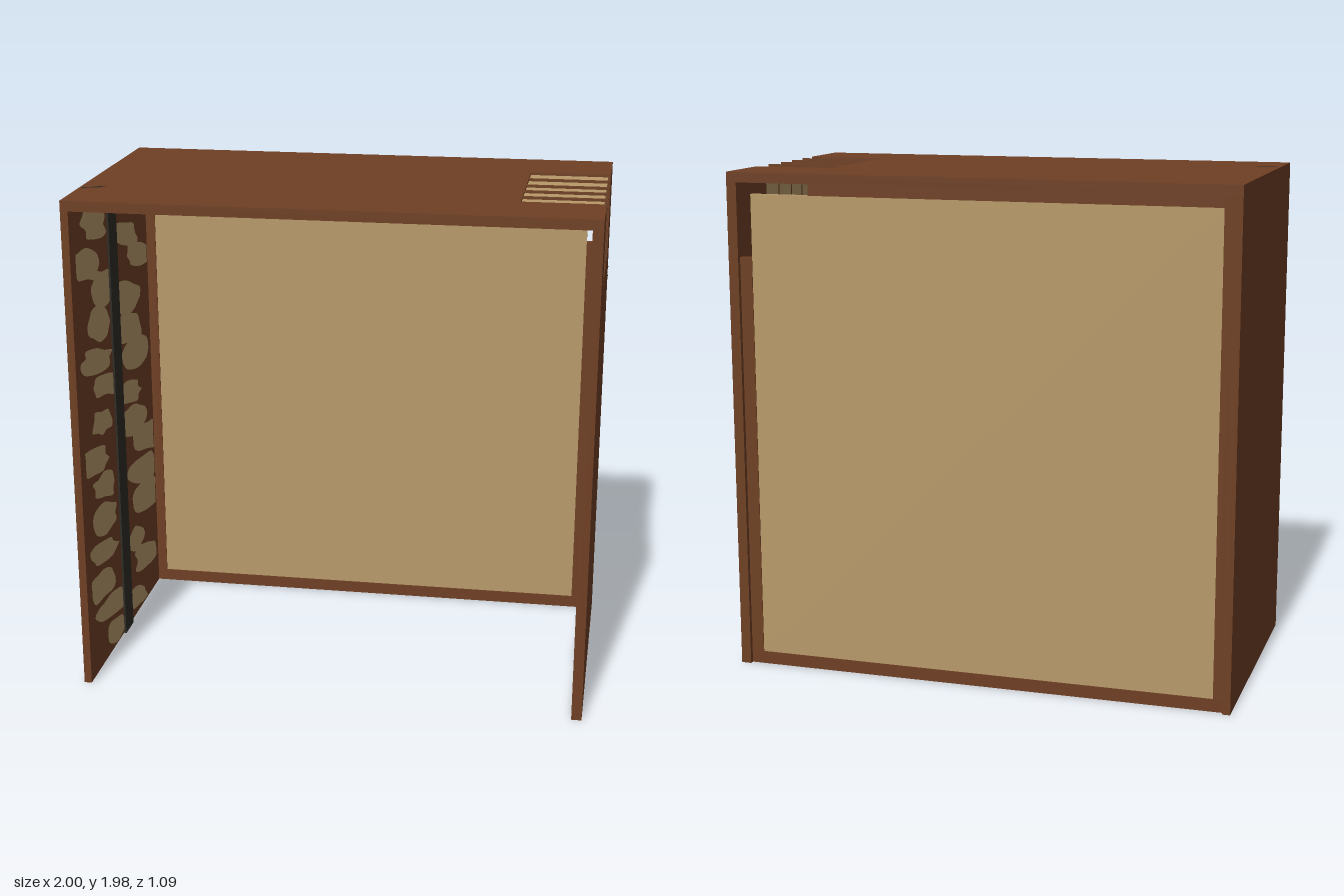
import * as THREE from 'three';
import { mergeGeometries } from 'three/addons/utils/BufferGeometryUtils.js';

const material = (name, color) => {
  const m = new THREE.MeshStandardMaterial({ color });
  m.name = name;
  return m;
};

// Box from its minimum and maximum corners
const span = (x0, x1, y0, y1, z0, z1) =>
  new THREE.BoxGeometry(x1 - x0, y1 - y0, z1 - z0)
    .translate((x0 + x1) / 2, (y0 + y1) / 2, (z0 + z1) / 2);

const polygon = pts => new THREE.Shape(pts.map(p => new THREE.Vector2(...p)));

export function createModel() {
  const brown = material('brown wood', 0x6f4024);
  const tan = material('tan wood', 0xb89a6a);
  const dark = material('dark iron', 0x2f2c25);
  const group = new THREE.Group();
  const add = (name, geometries, mat) => {
    const mesh = new THREE.Mesh(mergeGeometries([].concat(geometries)), mat);
    mesh.name = name;
    group.add(mesh);
  };

  const H = 1.98, D = 0.547, T = 0.04;
  const V0 = -0.27, V1 = 0.287; // depth range of the corner vent

  // Shell: two walls and a roof, with the vent notched out of one corner
  add('rightWall', span(-1, -0.97, 0, H - T, -D, D), brown);
  const wall = polygon([[-D, 0], [D, 0], [D, H - T], [-V0, H - T], [-V0, 1.67],
    [-V1, 1.67], [-V1, H - T], [-D, H - T]]);
  add('leftWall', new THREE.ExtrudeGeometry(wall, { depth: T, bevelEnabled: false })
    .rotateY(Math.PI / 2).translate(1 - T, 0, 0), brown);
  const roof = polygon([[-1, -D], [1, -D], [1, -V1], [0.685, -V1], [0.685, -V0],
    [1, -V0], [1, D], [-1, D]]);
  add('roof', new THREE.ExtrudeGeometry(roof, { depth: T, bevelEnabled: false })
    .rotateX(-Math.PI / 2).translate(0, H - T, 0), brown);

  // Corner vent: recessed slats parted by narrow bars
  const corner = (z0, z1, inset) => [
    span(0.685, 1 - inset, H - T, H - inset, z0, z1),
    span(1 - T, 1 - inset, 1.67, H - T, z0, z1),
  ];
  const edges = [V0, -0.15, -0.027, 0.08, 0.19, V1];
  const slats = [], bars = [];
  for (let i = 0; i < 5; i++) {
    slats.push(...corner(edges[i] + (i ? 0.005 : 0), edges[i + 1] - (i < 4 ? 0.005 : 0), 0.01));
    if (i) bars.push(...corner(edges[i] - 0.005, edges[i] + 0.005, 0));
  }
  add('ventSlats', slats, tan);
  add('ventBars', bars, brown);

  // Back panel and its frame, which stops short at the vent corner
  add('backPanel', span(-0.93, 0.91, 0.05, 1.895, -0.527, -0.503), tan);
  add('backFrame', [
    span(-0.97, 0.96, 0, 0.05, -0.53, -0.5),
    span(-0.97, -0.93, 0.05, H - T, -0.53, -0.5),
    span(0.91, 0.96, 0.05, 1.65, -0.53, -0.5),
    span(-0.93, 0.67, 1.895, H - T, -0.53, -0.5),
  ], brown);

  // Inner lining: irregular worn patches on either side of an iron strap
  let seed = 7;
  const random = () => (seed = (seed * 16807) % 2147483647) / 2147483647;
  const patch = (u, v, w, h, lo, hi, v0, v1) => {
    const pts = [];
    for (let i = 0; i < 12; i++) {
      const a = i / 12 * Math.PI * 2, r = 0.8 + 0.45 * random();
      const du = w * Math.sign(Math.cos(a)) * Math.abs(Math.cos(a)) ** 0.7 * r;
      pts.push(new THREE.Vector2(
        THREE.MathUtils.clamp(u + du, lo, hi),
        THREE.MathUtils.clamp(v + h * Math.sin(a) * r - du * 0.2, v0, v1)));
    }
    return new THREE.ShapeGeometry(new THREE.Shape(new THREE.SplineCurve([...pts, pts[0]]).getPoints(36)));
  };
  const patches = (v0, v1) => {
    const list = [];
    for (const [lo, hi] of [[-0.49, -0.08], [0.03, 0.48]]) {
      for (let v = v0 + 0.07; v < v1 - 0.03; v += 0.135) {
        const w = 0.12 + 0.1 * random();
        const u = lo + (hi - lo) * (0.2 + 0.6 * random());
        list.push(patch(u, v, w, 0.045 + 0.025 * random(), lo, hi, v0 + 0.01, v1 - 0.01));
      }
    }
    return mergeGeometries(list);
  };
  const strap = (v0, v1) => span(-0.08, 0.03, v0, v1, 0, 0.008);
  const linings = [
    ['rightWall', 0, H - T, g => g.rotateY(Math.PI / 2).translate(-0.967, 0, 0)],
    ['leftWall', 0, 1.62, g => g.rotateY(-Math.PI / 2).translate(0.957, 0, 0)],
    ['roof', -0.96, 0.63, g => g.rotateY(Math.PI / 2).rotateZ(-Math.PI / 2).translate(0, H - T - 0.003, 0)],
  ];
  for (const [name, v0, v1, place] of linings) {
    add(name + 'Patches', place(patches(v0, v1)), tan);
    add(name + 'Strap', place(strap(v0, v1)), dark);
  }

  // Small dark nicks on the roof and the left wall
  const nick = () => new THREE.ShapeGeometry(polygon(
    [[-0.05, -0.014], [-0.015, -0.004], [0.02, -0.014], [0.05, 0], [0.025, 0.012], [-0.01, 0.004], [-0.045, 0.008]]));
  add('roofNick', nick().rotateZ(0.46).rotateX(-Math.PI / 2).translate(-0.945, H + 0.002, 0.295), dark);
  add('wallNick', nick().rotateZ(1.05).rotateY(Math.PI / 2).translate(1.002, 1.54, -0.515), dark);
  return group;
}
